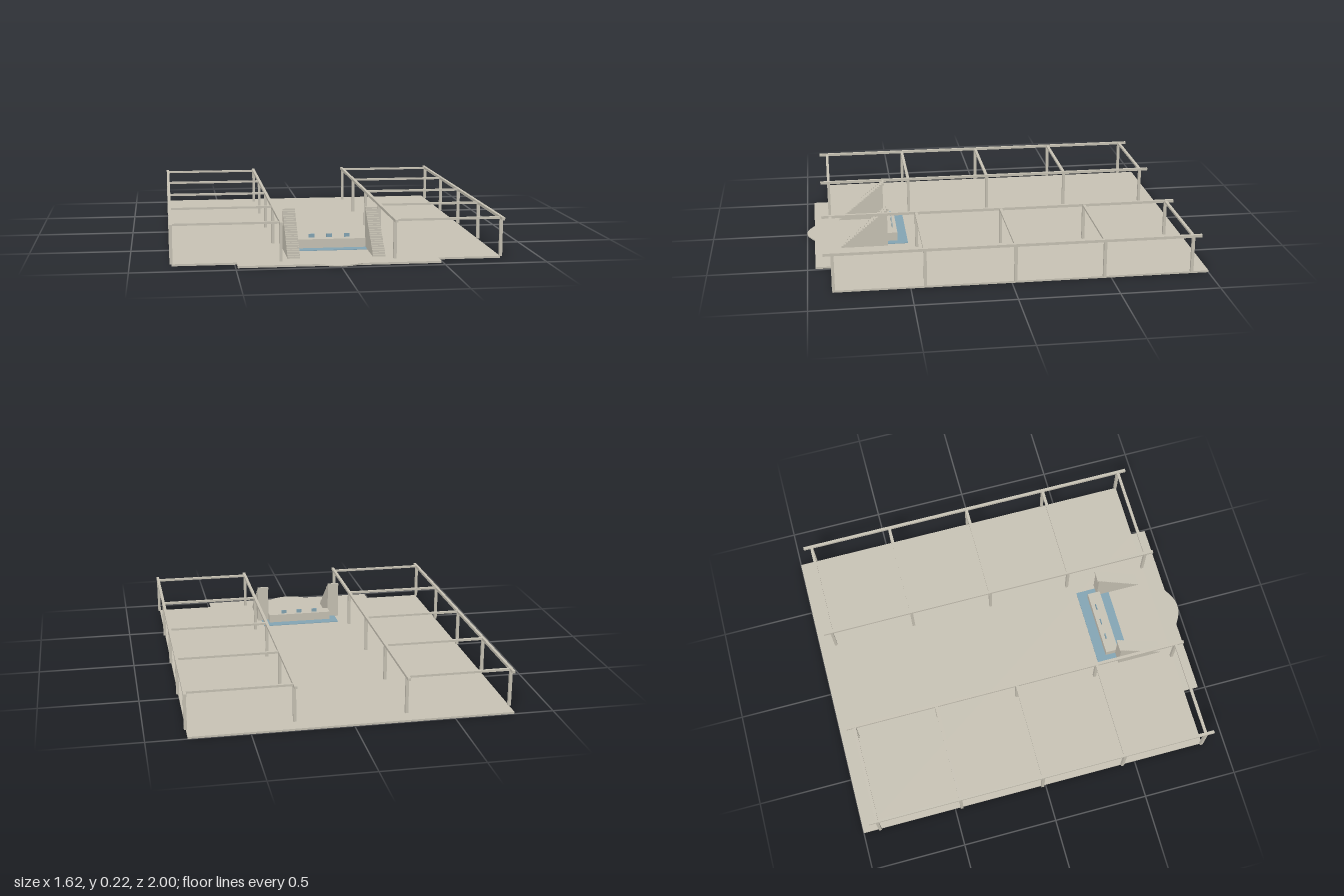
import * as THREE from 'three';

export function createModel() {
  const model = new THREE.Group();
  model.name = 'courtyardPavilion';
  const stone = new THREE.MeshStandardMaterial({ color: 0xc9c4b6 });
  stone.name = 'pale stone';
  const blue = new THREE.MeshStandardMaterial({ color: 0x84a6b5 });
  blue.name = 'water blue';

  const add = (name, geometry, material, parent = model) => {
    const mesh = new THREE.Mesh(geometry, material);
    mesh.name = name;
    parent.add(mesh);
    return mesh;
  };
  // Box given by its limits on each axis
  const box = (name, [x0, x1], [y0, y1], [z0, z1], material = stone, parent = model) => {
    const mesh = add(name, new THREE.BoxGeometry(x1 - x0, y1 - y0, z1 - z0), material, parent);
    mesh.position.set((x0 + x1) / 2, (y0 + y1) / 2, (z0 + z1) / 2);
    return mesh;
  };
  // Flat slab from a plan shape drawn in x and z
  const slab = (name, shape, top, depth) => {
    const geometry = new THREE.ExtrudeGeometry(shape, { depth, bevelEnabled: false, curveSegments: 16 });
    geometry.rotateX(Math.PI / 2).translate(0, top, 0);
    return add(name, geometry, stone);
  };

  // Floor with a front apron
  const floorTop = 0.01;
  const plan = [[-0.8, -1], [0.8, -1], [0.8, 0.88], [0.49, 0.88], [0.49, 0.96],
    [-0.49, 0.96], [-0.49, 0.88], [-0.8, 0.88]];
  slab('floor', new THREE.Shape(plan.map(([x, z]) => new THREE.Vector2(x, z))), floorTop, floorTop);

  // Curved lip in the middle of the apron
  const lip = new THREE.Shape();
  lip.moveTo(-0.115, 0.955);
  lip.lineTo(0.115, 0.955);
  lip.bezierCurveTo(0.08, 0.975, 0.05, 1, 0, 1);
  lip.bezierCurveTo(-0.05, 1, -0.08, 0.975, -0.115, 0.955);
  slab('frontLip', lip, floorTop, 0.006);

  // Two open pergolas of posts and beams
  const half = 0.0075;
  const bayZ = [0, 1, 2, 3, 4].map((i) => -0.911 + i * 0.4465);
  for (const side of [-1, 1]) {
    const pergola = new THREE.Group();
    pergola.name = side > 0 ? 'leftPergola' : 'rightPergola';
    model.add(pergola);
    for (const ax of [0.2775, 0.8025]) {
      const x = side * ax;
      box('longBeam', [x - half, x + half], [0.194, 0.208], [-0.955, 0.92], stone, pergola);
      for (const z of bayZ) {
        box('post', [x - half, x + half], [floorTop, 0.194], [z - half, z + half], stone, pergola);
      }
    }
    const span = [side * 0.285, side * 0.795].sort((a, b) => a - b);
    for (const z of bayZ) {
      box('crossBeam', span, [0.195, 0.206], [z - half, z + half], stone, pergola);
    }
  }

  // Solid staircases rising towards the back
  const steps = 22, startZ = 0.822, endZ = 0.57, stairTop = 0.215;
  const profile = new THREE.Shape();
  profile.moveTo(0.578, floorTop);
  profile.lineTo(0.578, 0.203);
  profile.lineTo(endZ, 0.203);
  for (let i = steps; i > 0; i--) {
    const y = floorTop + (stairTop - floorTop) * i / steps;
    profile.lineTo(startZ + (endZ - startZ) * i / steps, y);
    profile.lineTo(startZ + (endZ - startZ) * (i - 1) / steps, y);
  }
  profile.lineTo(startZ, floorTop);
  const stairWidth = 0.062;
  const stair = new THREE.ExtrudeGeometry(profile, { depth: stairWidth, bevelEnabled: false });
  stair.rotateY(-Math.PI / 2).translate(stairWidth / 2, 0, 0);
  for (const side of [-1, 1]) {
    add(side > 0 ? 'leftStairs' : 'rightStairs', stair, stone).position.x = side * 0.21;
  }

  // Pool, central block and its small blue panels
  box('pool', [-0.22, 0.22], [floorTop, 0.013], [0.47, 0.648], blue);
  box('centralBlock', [-0.18, 0.18], [floorTop, 0.058], [0.523, 0.592]);
  for (const x of [-0.09, 0, 0.09]) {
    box('bluePanel', [x - 0.015, x + 0.015], [0.058, 0.077], [0.543, 0.547], blue);
  }
  return model;
}
